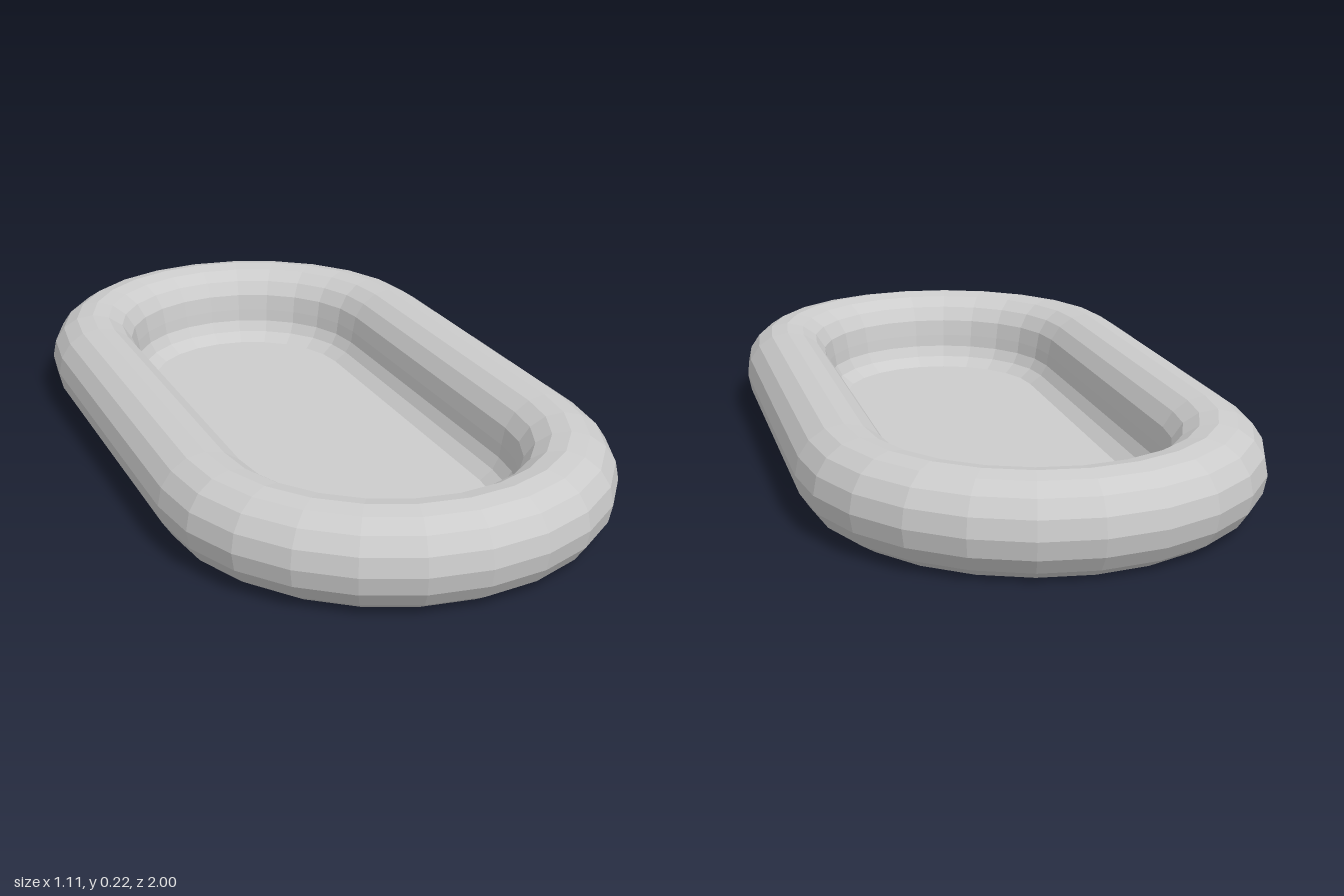
import * as THREE from 'three';

const HALF_STRAIGHT = 0.445; // distance from centre to each end arc's centre
const ARC_STEPS = 12;        // facets per end arc
const FLOOR_Y = 0.02, FLOOR_R = 0.27;
const TUBE_R = 0.115, TUBE_MID = 0.44, TUBE_Y = 0.106;

// Points [x, z] of a pill-shaped outline of the given radius
function pill(r) {
  const pts = [];
  for (const end of [1, -1]) {
    for (let i = 0; i <= ARC_STEPS; i++) {
      const a = (i / ARC_STEPS - 0.5) * Math.PI;
      pts.push([end * r * Math.sin(a), end * (HALF_STRAIGHT + r * Math.cos(a))]);
    }
  }
  return pts;
}

// Loft a [radius, height] profile around the pill outline
function loft(profile) {
  const pos = [], index = [];
  const n = 2 * (ARC_STEPS + 1);
  for (const [r, y] of profile) for (const [x, z] of pill(r)) pos.push(x, y, z);
  for (let j = 0; j < profile.length - 1; j++) {
    for (let i = 0; i < n; i++) {
      const a = j * n + i, b = j * n + (i + 1) % n;
      index.push(a, b, a + n, b, b + n, a + n);
    }
  }
  const g = new THREE.BufferGeometry();
  g.setAttribute('position', new THREE.Float32BufferAttribute(pos, 3));
  g.setIndex(index);
  g.computeVertexNormals();
  return g;
}

// Flat pill-shaped panel facing up (1) or down (-1)
function panel(r, y, facing) {
  const shape = new THREE.Shape(pill(r).map(([x, z]) => new THREE.Vector2(x, z)));
  return new THREE.ShapeGeometry(shape).rotateX(-facing * Math.PI / 2).translate(0, y, 0);
}

export function createModel() {
  const group = new THREE.Group();
  const material = new THREE.MeshStandardMaterial({ color: 0xcccccc, flatShading: true });
  const add = (name, geometry) => {
    const mesh = new THREE.Mesh(geometry, material);
    mesh.name = name;
    group.add(mesh);
  };

  // Rounded rim: from the base edge, over the top, to the inner side
  const profile = [];
  for (let k = -3; k <= 8; k++) {
    const a = k * Math.PI / 8;
    profile.push([TUBE_MID + TUBE_R * Math.cos(a), Math.max(0, TUBE_Y + TUBE_R * Math.sin(a))]);
  }
  const baseR = profile[0][0];
  // Hollow inner wall running down to the floor
  profile.push([0.32, 0.073], [0.303, 0.044], [FLOOR_R, FLOOR_Y]);

  add('rim', loft(profile));
  add('floor', panel(FLOOR_R, FLOOR_Y, 1));
  add('base', panel(baseR, 0, -1));
  return group;
}
